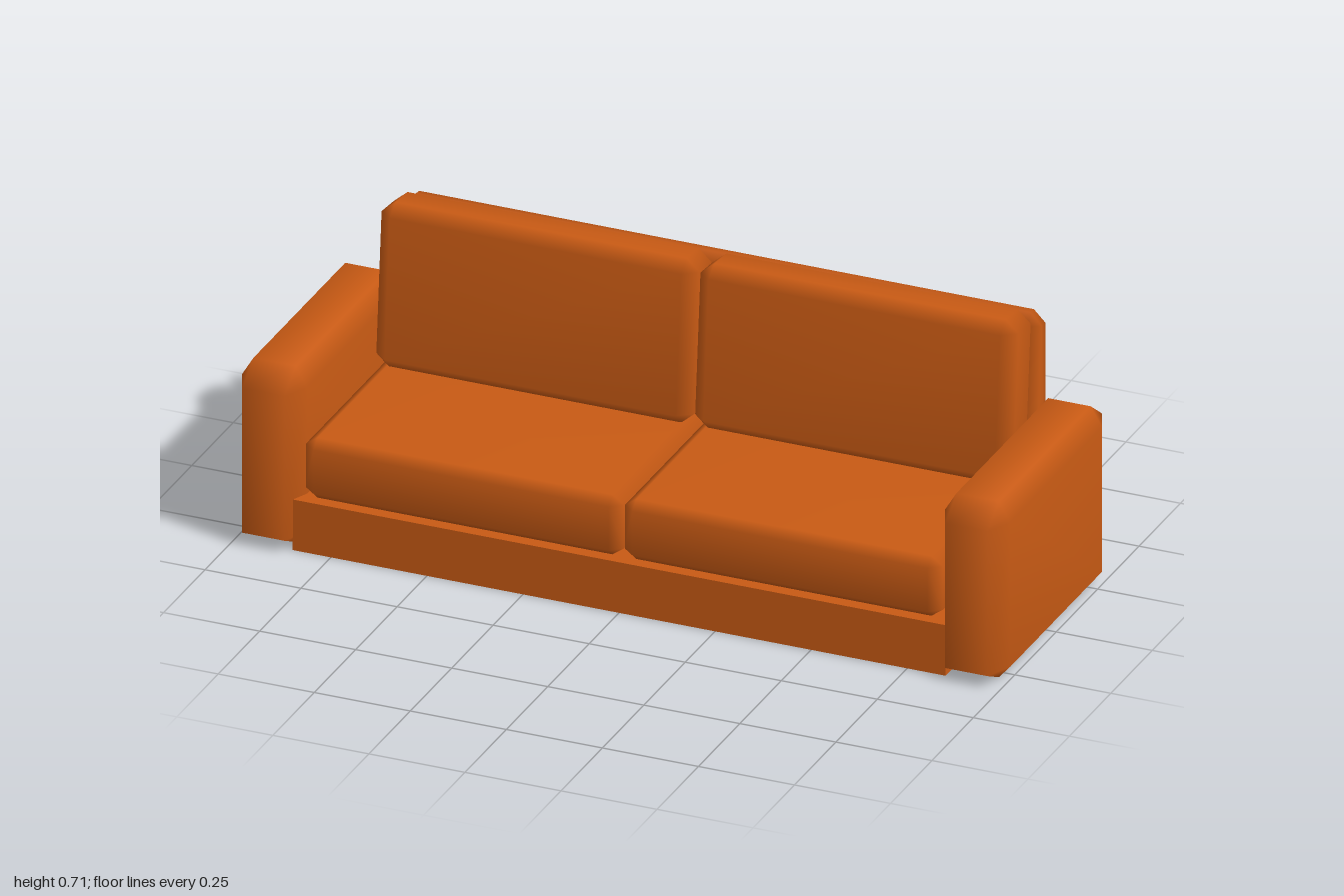
import * as THREE from 'three';
import { ConvexGeometry } from 'three/addons/geometries/ConvexGeometry.js';
import { mergeVertices } from 'three/addons/utils/BufferGeometryUtils.js';

const fabric = new THREE.MeshStandardMaterial({ color: 0xc85a14 });
const shellFabric = new THREE.MeshStandardMaterial({ color: 0xc85a14, side: THREE.DoubleSide });

// Box with one-step chamfers (a separate width per axis) and soft shared normals;
// bend(point) may reshape it before the hull is made.
function chamferBox([w, h, d], [cx, cy, cz], bend = () => {}) {
  const half = [w / 2, h / 2, d / 2];
  const inner = [w / 2 - cx, h / 2 - cy, d / 2 - cz];
  const points = [];
  for (let axis = 0; axis < 3; axis++) {
    for (const sx of [-1, 1]) for (const sy of [-1, 1]) for (const sz of [-1, 1]) {
      const p = [sx, sy, sz].map((s, i) => s * (i === axis ? half[i] : inner[i]));
      const v = new THREE.Vector3(...p);
      bend(v);
      points.push(v);
    }
  }
  const hull = new ConvexGeometry(points);
  hull.deleteAttribute('normal');
  const geometry = mergeVertices(hull, 1e-4);
  geometry.computeVertexNormals();
  return geometry;
}

export function createModel() {
  const sofa = new THREE.Group();
  sofa.name = 'sofa';

  function add(name, geometry, x, y, z, material = fabric) {
    const mesh = new THREE.Mesh(geometry, material);
    mesh.name = name;
    mesh.position.set(x, y, z);
    sofa.add(mesh);
    return mesh;
  }

  // Hollow base, open underneath: front and back boards, sides and a thin deck
  const base = new THREE.Group();
  base.name = 'base';
  const panel = (name, w, h, x, y, z, rx, ry) => {
    const mesh = new THREE.Mesh(new THREE.PlaneGeometry(w, h), shellFabric);
    mesh.name = name;
    mesh.position.set(x, y, z);
    mesh.rotation.set(rx, ry, 0);
    base.add(mesh);
  };
  panel('frontBoard', 1.7, 0.135, 0, 0.0675, 0.32, 0, 0);
  panel('backBoard', 1.7, 0.135, 0, 0.0675, -0.335, 0, Math.PI);
  panel('deck', 1.7, 0.655, 0, 0.135, -0.0075, -Math.PI / 2, 0);
  for (const s of [-1, 1]) panel('sideBoard', 0.655, 0.135, s * 0.85, 0.0675, -0.0075, 0, s * Math.PI / 2);
  sofa.add(base);

  // Arms: the lower chamfer is shallower than the upper one
  const arm = chamferBox([0.17, 0.47, 0.69], [0.03, 0.05, 0.068], (p) => {
    if (p.y < -0.1 && p.y > -0.23) p.y -= 0.016;
  });

  // Cushions
  const seat = chamferBox([0.828, 0.16, 0.55], [0.03, 0.022, 0.025]);
  const backCushion = chamferBox([0.828, 0.425, 0.139], [0.035, 0.03, 0.033]);

  for (const s of [-1, 1]) {
    const side = s > 0 ? 'left' : 'right';
    add(side + 'Arm', arm, s * 0.915, 0.235, 0);
    add(side + 'SeatCushion', seat, s * 0.415, 0.215, 0.037);
    add(side + 'BackCushion', backCushion, s * 0.415, 0.5, -0.19).rotation.x = -0.087;
  }

  // Back panel: upright behind, front face leaning back towards the top
  const backPanel = chamferBox([1.66, 0.672, 0.07], [0.03, 0.03, 0.016], (p) => {
    if (p.z > 0) p.z -= p.y * 0.085 - 0.01;
  });
  add('backPanel', backPanel, 0, 0.336, -0.31);

  return sofa;
}
